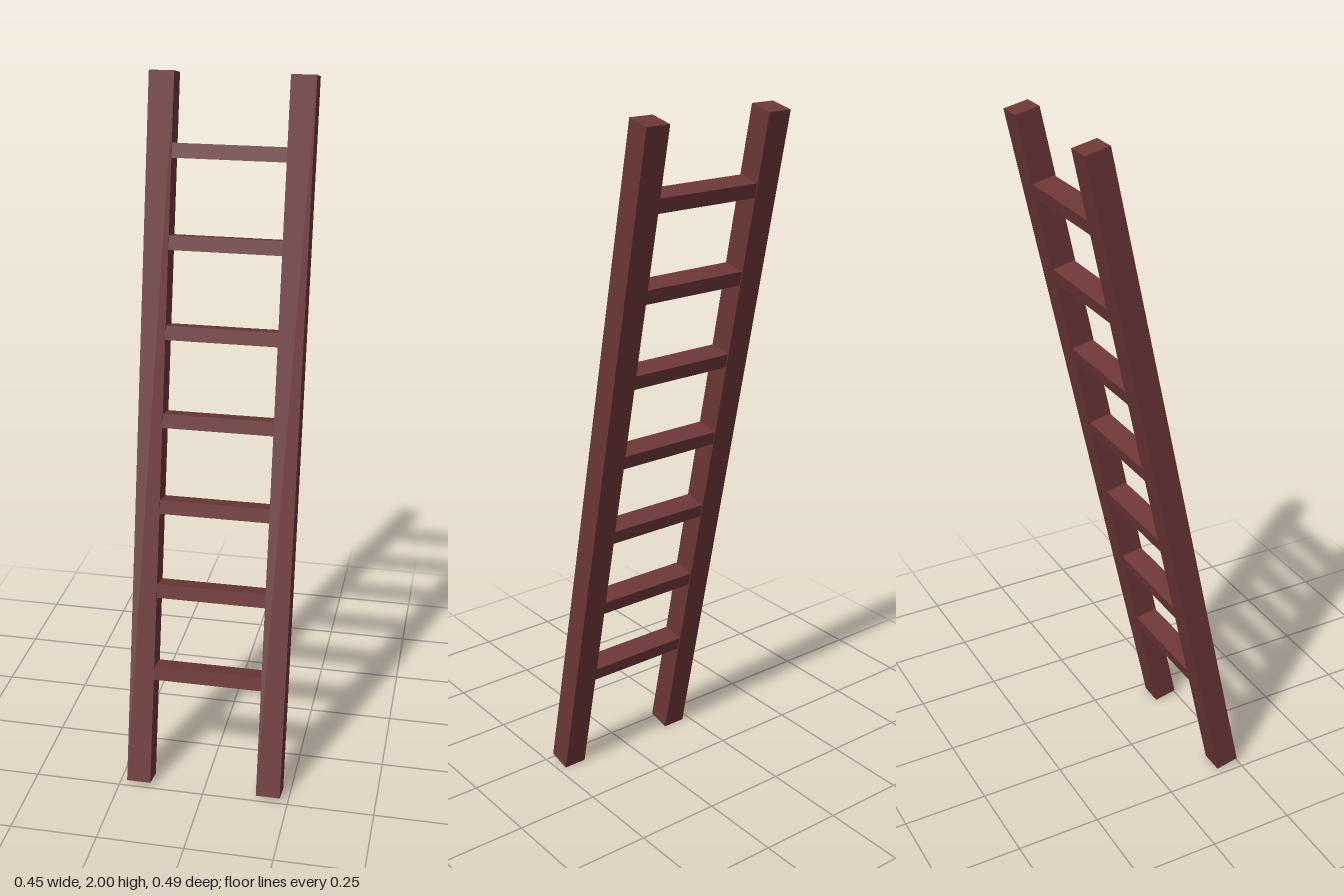
import * as THREE from 'three';

const LEAN = THREE.MathUtils.degToRad(12);
const RAIL = { size: 0.07, length: 2.03, x: 0.192 };
const RUNG = { count: 7, height: 0.04, depth: 0.065, first: -0.677, spacing: 0.2472 };

export function createModel() {
  const wood = new THREE.MeshStandardMaterial({ color: 0x6d3737 });
  wood.name = 'reddish brown wood';

  const model = new THREE.Group();
  model.name = 'ladder';

  // Upright frame, leaned back as a whole
  const frame = new THREE.Group();
  frame.name = 'leaningFrame';
  frame.position.y = 1;
  frame.rotation.x = -LEAN;
  model.add(frame);

  // Side rails
  const railGeometry = new THREE.BoxGeometry(RAIL.size, RAIL.length, RAIL.size);
  for (const side of [-1, 1]) {
    const rail = new THREE.Mesh(railGeometry, wood);
    rail.name = side > 0 ? 'leftRail' : 'rightRail';
    rail.position.x = side * RAIL.x;
    frame.add(rail);
  }

  // Rungs between the inner faces of the rails
  const rungWidth = 2 * RAIL.x - RAIL.size;
  const rungGeometry = new THREE.BoxGeometry(rungWidth, RUNG.height, RUNG.depth);
  for (let i = 0; i < RUNG.count; i++) {
    const rung = new THREE.Mesh(rungGeometry, wood);
    rung.name = `rung${i + 1}`;
    rung.position.y = RUNG.first + i * RUNG.spacing;
    frame.add(rung);
  }

  return model;
}
